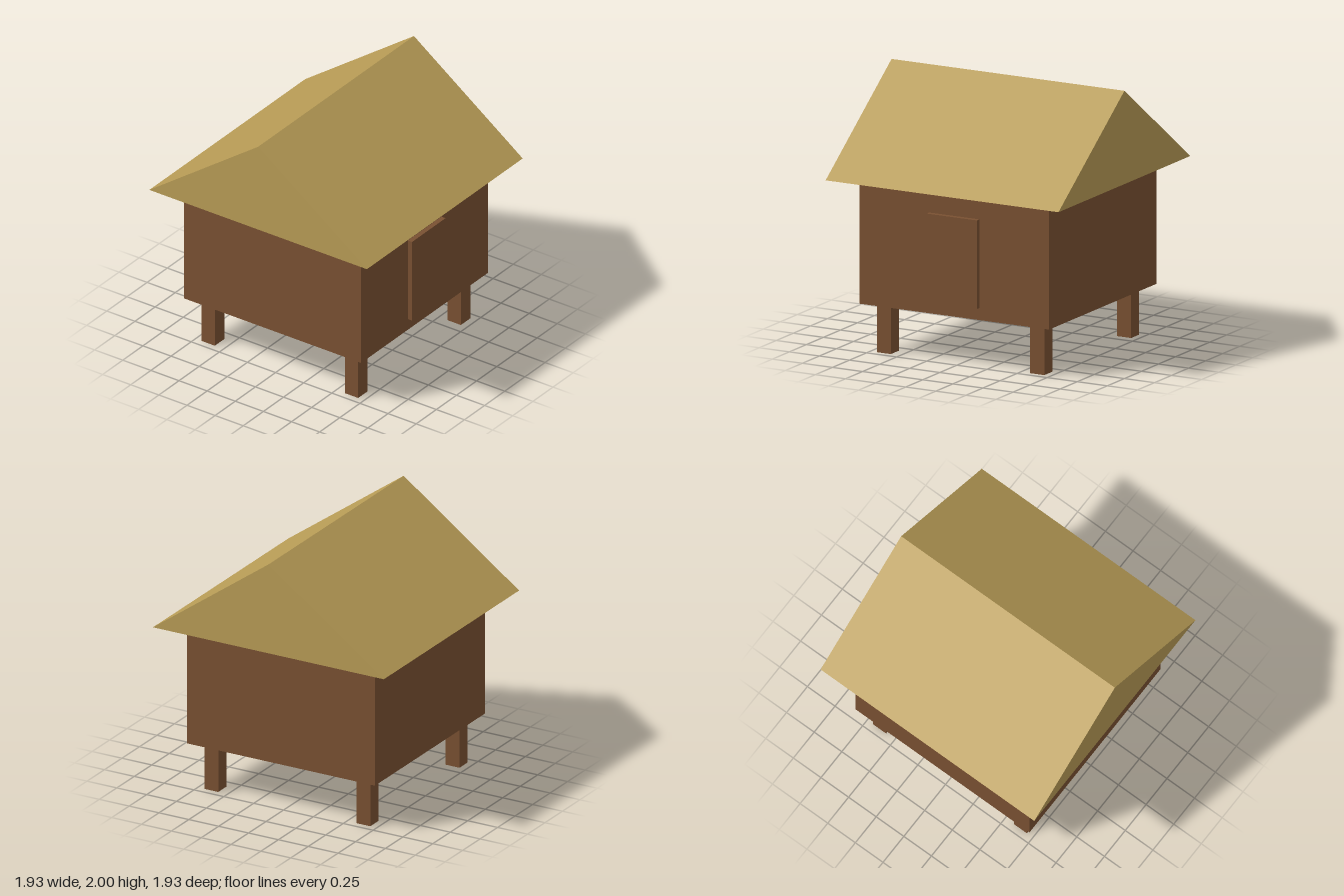
import * as THREE from 'three';

export function createModel() {
  const hut = new THREE.Group();
  hut.name = 'stiltHut';

  const wood = new THREE.MeshStandardMaterial({ color: 0x7a5132 });
  wood.name = 'brown wood';
  const thatch = new THREE.MeshStandardMaterial({ color: 0xb89c56 });
  thatch.name = 'straw thatch';

  const add = (name, geometry, material, x, y, z) => {
    const mesh = new THREE.Mesh(geometry, material);
    mesh.name = name;
    mesh.position.set(x, y, z);
    hut.add(mesh);
  };

  const legTop = 0.37, eaves = 1.305, ridge = 2;
  const wall = 1.575, overhang = 0.967;

  // Four square stilts
  for (const [side, x] of [['Left', 0.637], ['Right', -0.637]]) {
    for (const [end, z] of [['front', 0.637], ['back', -0.637]]) {
      add(`${end}${side}Leg`, new THREE.BoxGeometry(0.117, legTop, 0.117), wood, x, legTop / 2, z);
    }
  }

  // Cabin walls and floor
  add('cabin', new THREE.BoxGeometry(wall, eaves - legTop, wall), wood, 0, (eaves + legTop) / 2, 0);

  // Raised door slab on the front wall
  add('door', new THREE.BoxGeometry(0.417, 0.66, 0.04), wood, 0, 0.79, 0.805);

  // Gabled roof: triangle section swept along x
  const gable = new THREE.Shape();
  gable.moveTo(-overhang, 0);
  gable.lineTo(overhang, 0);
  gable.lineTo(0, ridge - eaves);
  gable.closePath();
  const roof = new THREE.ExtrudeGeometry(gable, { depth: overhang * 2, bevelEnabled: false });
  roof.translate(0, 0, -overhang);
  roof.rotateY(Math.PI / 2);
  add('roof', roof, thatch, 0, eaves, 0);

  return hut;
}
